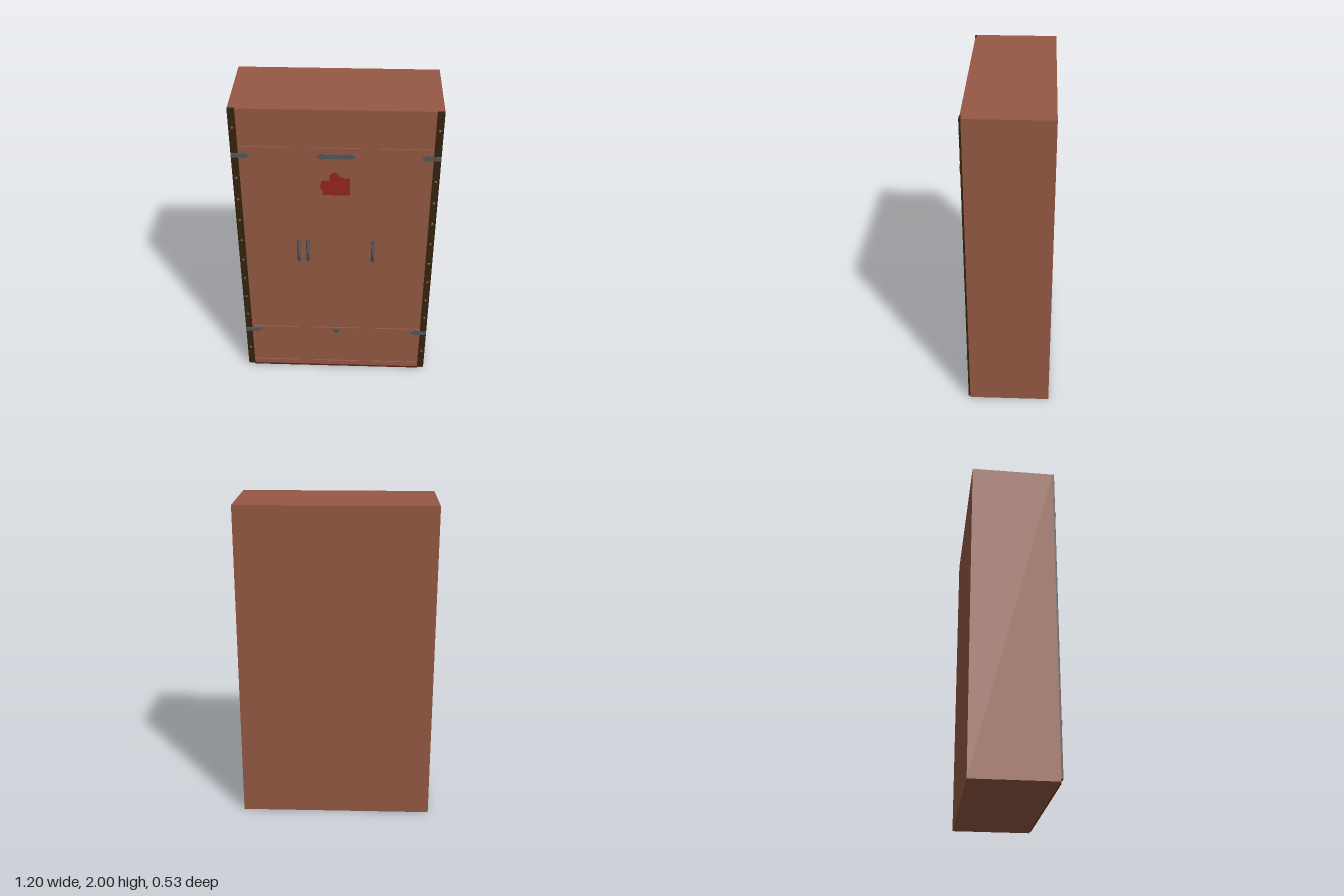
import * as THREE from 'three';

const mat = (name, color) => Object.assign(new THREE.MeshStandardMaterial({ color }), { name });

export function createModel() {
  const group = new THREE.Group();
  group.name = 'wardrobe';
  const wood = mat('red brown wood', 0x965a44);
  const trim = mat('dark edge trim', 0x35240f);
  const metal = mat('iron', 0x53585a);
  const red = mat('red paint', 0x98251f);
  const sill = mat('dark red sill', 0x5c211b);

  const add = (name, geometry, material, x = 0, y = 0, z = 0) => {
    const mesh = new THREE.Mesh(geometry, material);
    mesh.name = name;
    mesh.position.set(x, y, z);
    group.add(mesh);
    return mesh;
  };
  const outline = (pts) => new THREE.Shape(pts.map(([x, y]) => new THREE.Vector2(x, y)));
  const plate = (shape, depth) => new THREE.ExtrudeGeometry(shape, { depth, bevelEnabled: false });
  const rect = (x0, y0, x1, y1) => [[x0, y0], [x1, y0], [x1, y1], [x0, y1]];

  // Cabinet body
  add('body', new THREE.BoxGeometry(1.2, 2, 0.505), wood, 0, 1, -0.0145);
  add('sill', new THREE.BoxGeometry(1.12, 0.012, 0.008), sill, 0, 0.007, 0.242);

  // Door frames, each with three sunken panels: [left, right, panel left, panel right]
  const doors = [
    ['rightDoor', -0.56, -0.202, -0.555, -0.25],
    ['middleDoor', -0.198, 0.198, -0.15, 0.155],
    ['leftDoor', 0.202, 0.56, 0.25, 0.555],
  ];
  for (const [name, x0, x1, p0, p1] of doors) {
    const frame = outline(rect(x0, 0.014, x1, 2));
    for (const [y0, y1] of [[0.05, 0.23], [0.36, 1.64], [1.755, 1.985]]) {
      frame.holes.push(outline(rect(p0, y0, p1, y1)));
    }
    add(name, plate(frame, 0.008), wood, 0, 0, 0.238);
  }

  // Dark edge strips with a column of rivets
  const rivet = new THREE.CylinderGeometry(0.006, 0.009, 0.003, 6).rotateX(Math.PI / 2);
  for (const side of [-1, 1]) {
    add('edgeStrip', new THREE.BoxGeometry(0.042, 1.986, 0.011), trim, side * 0.579, 1.007, 0.2435);
    for (let i = 0; i < 12; i++) {
      if (i === 1 || i === 10) continue;
      add('rivet', rivet, wood, side * 0.579, 0.165 + i * 0.1532 + (i === 11 ? 0.03 : 0), 0.25);
    }
  }

  // Arrow-ended hinge straps, running from the outer edge inwards
  const strap = outline([[0.6, -0.014], [0.6, 0.014], [0.535, 0.014], [0.532, 0.021],
    [0.495, 0.006], [0.495, -0.006], [0.532, -0.021], [0.535, -0.014]]);
  for (const y of [0.335, 1.7]) {
    for (const side of [-1, 1]) {
      const hinge = add('hingeStrap', plate(strap, 0.004), metal, 0, y, side > 0 ? 0.249 : 0.253);
      if (side < 0) hinge.rotation.y = Math.PI;
    }
  }

  // Double arrow and small pointer on the middle door
  const half = [[0.068, 0.014], [0.072, 0.022], [0.107, 0.006]];
  const mirrorX = ([x, y]) => [-x, y], mirrorY = ([x, y]) => [x, -y];
  add('doubleArrow', plate(outline([
    ...half, ...half.map(mirrorY).reverse(),
    ...half.map(mirrorY).map(mirrorX), ...half.map(mirrorX).reverse(),
  ]), 0.005), metal, 0.002, 1.7, 0.245);
  add('pointer', plate(outline([[-0.029, 0.018], [-0.006, -0.022], [0.006, -0.022], [0.029, 0.018]]), 0.005),
    metal, 0.002, 0.335, 0.245);

  // Ragged red paint mark
  add('paintMark', plate(outline([
    [-0.078, 1.43], [0.083, 1.43], [0.083, 1.545], [0.072, 1.555], [0.058, 1.54], [0.045, 1.555],
    [0.025, 1.555], [0.018, 1.575], [-0.008, 1.59], [-0.025, 1.58], [-0.035, 1.565], [-0.035, 1.53],
    [-0.058, 1.53], [-0.075, 1.535], [-0.088, 1.51], [-0.095, 1.485], [-0.08, 1.465],
  ]), 0.003), red, 0, 0, 0.2385);

  // Bowed pull handles with pointed end plates
  const bow = new THREE.CatmullRomCurve3([
    [0, -0.07, 0.247], [0, -0.04, 0.255], [0, 0, 0.2615], [0, 0.04, 0.255], [0, 0.07, 0.247],
  ].map((p) => new THREE.Vector3(...p)));
  const bar = new THREE.TubeGeometry(bow, 16, 0.0075, 6);
  bar.scale(1.3, 1, 1);
  const tip = outline([[-0.009, 0.055], [0.009, 0.055], [0.014, 0.068], [0.005, 0.087],
    [-0.005, 0.087], [-0.014, 0.068]]);
  for (const x of [-0.228, -0.172, 0.228]) {
    add('handleBar', bar, metal, x, 1.015, 0);
    add('handleTopPlate', plate(tip, 0.005), metal, x, 1.015, 0.245);
    add('handleBottomPlate', plate(tip, 0.005), metal, x, 1.015, 0.245).rotation.z = Math.PI;
  }
  return group;
}
